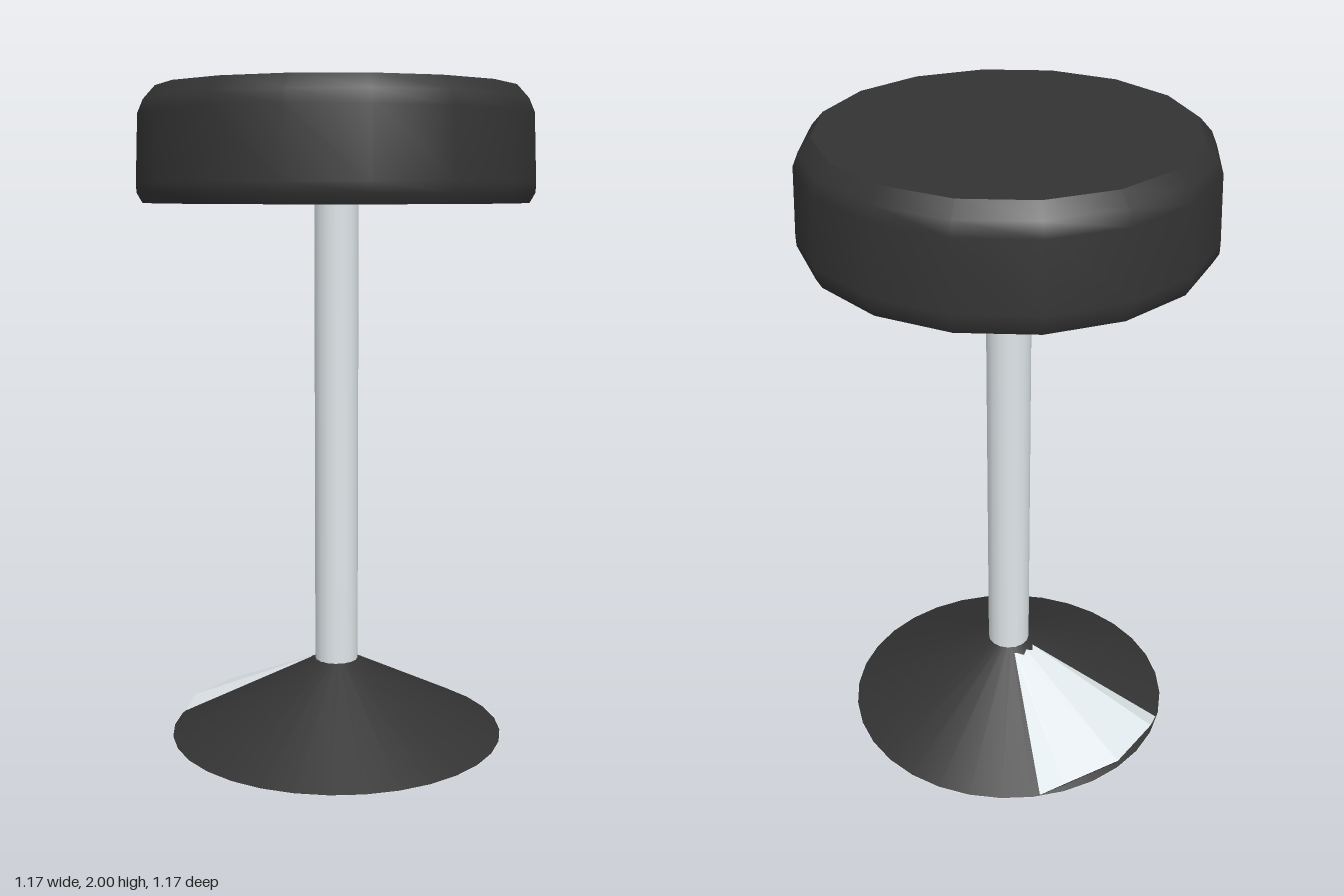
import * as THREE from 'three';

const SIDES = 16;
const HALF_STEP = Math.PI / SIDES;

export function createModel() {
  const model = new THREE.Group();
  model.name = 'stool';

  const dark = new THREE.MeshStandardMaterial({ color: 0x333333, side: THREE.DoubleSide });
  const metal = new THREE.MeshStandardMaterial({ color: 0xdfe6e9, side: THREE.DoubleSide });

  const add = (name, geometry, material, parent = model) => {
    const mesh = new THREE.Mesh(geometry, material);
    mesh.name = name;
    parent.add(mesh);
    return mesh;
  };

  // Seat: hollow shell, open below, with a flat top
  const seat = new THREE.Group();
  seat.name = 'seat';
  model.add(seat);
  const profile = [[0.58, 1.66], [0.597, 1.69], [0.598, 1.72], [0.59, 1.92], [0.573, 1.96], [0.537, 2]]
    .map(([r, y]) => new THREE.Vector2(r, y));
  add('seatSide', new THREE.LatheGeometry(profile, SIDES, HALF_STEP), dark, seat);
  const top = new THREE.CircleGeometry(0.537, SIDES, HALF_STEP);
  top.rotateX(-Math.PI / 2).translate(0, 2, 0);
  add('seatTop', top, dark, seat);

  // Post between the base and the open underside of the seat
  const post = new THREE.CylinderGeometry(0.067, 0.067, 1.46, SIDES);
  add('post', post.translate(0, 0.93, 0), metal);

  // Base: conical foot closed by a metal disc
  const base = new THREE.Group();
  base.name = 'base';
  model.add(base);
  const cone = new THREE.CylinderGeometry(0.065, 0.52, 0.234, 32, 1, true);
  add('baseCone', cone.translate(0, 0.117, 0), dark, base);
  const disc = new THREE.CircleGeometry(0.522, 32);
  add('baseDisc', disc.rotateX(Math.PI / 2), metal, base);

  // Raised metal panel at the back of the base, a fan from the post to the rim
  const rim = [[-0.27, 0, -0.44], [-0.2, 0.03, -0.48], [0, 0.03, -0.522], [0.2, 0.03, -0.48], [0.27, 0, -0.44]];
  const inner = rim.map(([x, , z]) => {
    const s = 0.066 / Math.hypot(x, z);
    return [x * s, 0.232, z * s];
  });
  const corners = [];
  for (let i = 0; i < rim.length - 1; i++) {
    corners.push(inner[i], inner[i + 1], rim[i], inner[i + 1], rim[i + 1], rim[i]);
  }
  const panel = new THREE.BufferGeometry();
  panel.setAttribute('position', new THREE.Float32BufferAttribute(corners.flat(), 3));
  panel.computeVertexNormals();
  add('backPanel', panel, metal, base);

  // Narrow dark lip under the panel's outer edge
  const foot = [[-0.27, 0, -0.44], [-0.19, 0, -0.46], [0, 0, -0.5], [0.19, 0, -0.46], [0.27, 0, -0.44]];
  const lipCorners = [];
  for (let i = 0; i < rim.length - 1; i++) {
    lipCorners.push(rim[i], rim[i + 1], foot[i], rim[i + 1], foot[i + 1], foot[i]);
  }
  const lip = new THREE.BufferGeometry();
  lip.setAttribute('position', new THREE.Float32BufferAttribute(lipCorners.flat(), 3));
  lip.computeVertexNormals();
  add('panelLip', lip, dark, base);

  return model;
}
